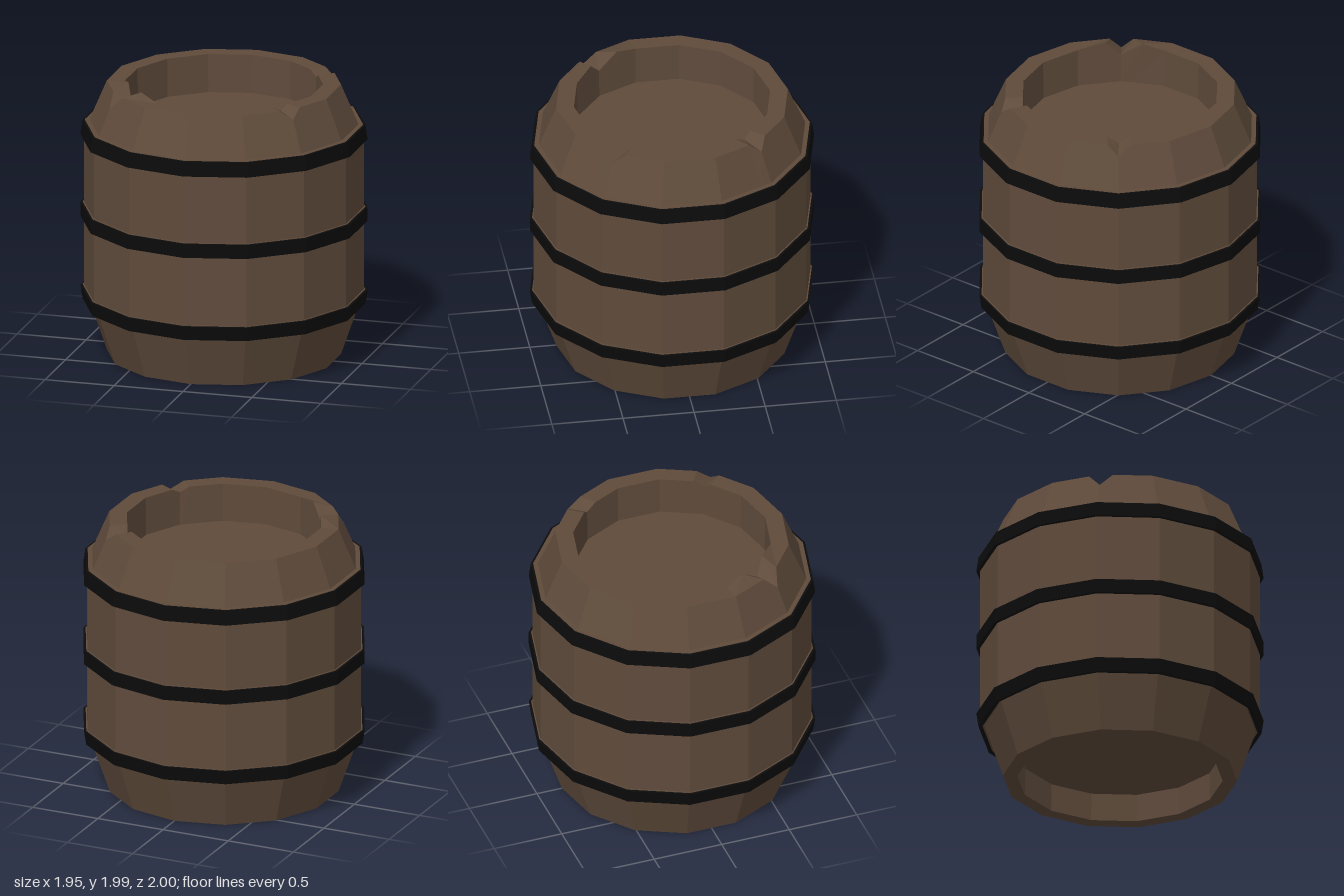
import * as THREE from 'three';

const SIDES = 14;
const STEP = (Math.PI * 2) / SIDES;
const RIM_Y = 1.955;

// Point on a 14-sided ring of corner radius r, at any angle
function ringPoint(r, y, angle) {
  const offset = angle - (Math.floor(angle / STEP + 1e-6) + 0.5) * STEP;
  const d = (r * Math.cos(STEP / 2)) / Math.cos(offset);
  return [Math.sin(angle) * d, y, Math.cos(angle) * d];
}

// Upright slices of the barrel: outer / inner angle and rim height changes
function makeSlices() {
  const rad = THREE.MathUtils.degToRad;
  const slices = [];
  for (let i = 0; i < SIDES; i++) {
    const a = i * STEP;
    slices.push({ body: a, out: a, inn: a, dOut: 0, dIn: 0 });
  }
  // Chips in the rim, each centred on a corner
  const chips = [
    { corner: 2, out: [45.5, 57.5], inn: [46, 57], dOut: -0.065, dIn: -0.035, lift: 0 },
    { corner: 5, out: [123, 135], inn: [121.5, 134], dOut: -0.07, dIn: -0.04, lift: 0 },
    { corner: 12, out: [302.5, 314.5], inn: [296, 318], dOut: -0.1, dIn: -0.07, lift: 0.033 },
  ];
  for (const c of chips) {
    Object.assign(slices[c.corner], { dOut: c.dOut, dIn: c.dIn });
    for (let k = 0; k < 2; k++) {
      slices.push({ body: rad(c.out[k]), out: rad(c.out[k]), inn: rad(c.inn[k]), dOut: 0, dIn: c.lift });
    }
  }
  return slices.sort((a, b) => a.body - b.body);
}

// Staves, rim, sunken lid and sunken base as one skin
function barrelGeometry() {
  const rows = makeSlices().map((s) => [
    [0, 0.2, 0],
    ringPoint(0.71, 0.2, s.body),
    ringPoint(0.715, 0, s.body),
    ringPoint(0.815, 0, s.body),
    ringPoint(0.975, 0.465, s.body),
    ringPoint(0.975, 1.58, s.body),
    ringPoint(0.815 - s.dOut * 0.43, RIM_Y + s.dOut, s.out),
    ringPoint(0.69, RIM_Y + s.dIn, s.inn),
    ringPoint(0.685, 1.68, s.body),
    [0, 1.68, 0],
  ]);
  const position = [];
  rows.forEach((a, i) => {
    const b = rows[(i + 1) % rows.length];
    const last = a.length - 2;
    for (let j = 0; j <= last; j++) {
      if (j > 0) position.push(...a[j], ...b[j], ...b[j + 1]);
      if (j < last) position.push(...a[j], ...b[j + 1], ...a[j + 1]);
    }
  });
  const geometry = new THREE.BufferGeometry();
  geometry.setAttribute('position', new THREE.Float32BufferAttribute(position, 3));
  geometry.computeVertexNormals();
  return geometry;
}

// Closed hoop: inner radius, then outer radii and heights at bottom and top
function hoopGeometry(rIn, rLow, yLow, rHigh, yHigh) {
  const profile = [
    [rIn, yLow], [rLow, yLow], [rHigh, yHigh], [rIn, yHigh], [rIn, yLow],
  ].map(([r, y]) => new THREE.Vector2(r, y));
  return new THREE.LatheGeometry(profile, SIDES);
}

export function createModel() {
  const wood = new THREE.MeshStandardMaterial({ color: 0x5f4b3b, flatShading: true });
  wood.name = 'brown wood';
  const iron = new THREE.MeshStandardMaterial({ color: 0x0b0b0b, flatShading: true });
  iron.name = 'black iron';

  const model = new THREE.Group();
  model.name = 'barrel';
  const add = (name, geometry, material) => {
    const mesh = new THREE.Mesh(geometry, material);
    mesh.name = name;
    model.add(mesh);
  };

  add('barrelBody', barrelGeometry(), wood);

  // Iron hoops, each over a slightly taller wooden collar
  const hoops = [
    ['lowerHoop', 0.985, 0.37, 1.0, 0.47],
    ['middleHoop', 1.0, 0.97, 1.0, 1.07],
    ['upperHoop', 1.0, 1.56, 0.985, 1.665],
  ];
  for (const [name, rLow, yLow, rHigh, yHigh] of hoops) {
    add(name, hoopGeometry(0.96, rLow, yLow, rHigh, yHigh), iron);
    add(name + 'Collar', hoopGeometry(0.92, rLow - 0.016, yLow + 0.01, rHigh - 0.016, yHigh + 0.004), wood);
  }
  return model;
}
